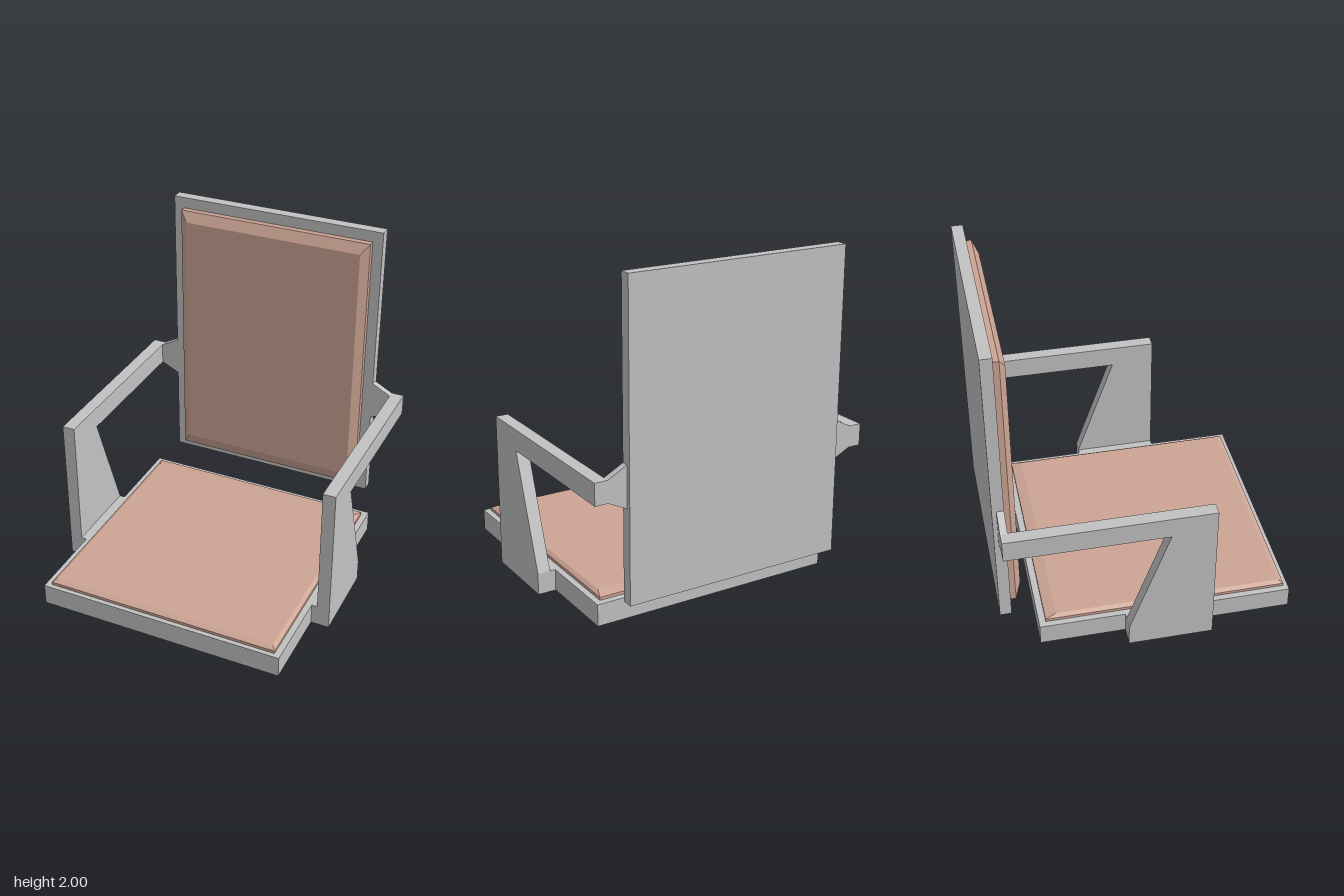
import * as THREE from 'three';

const frameGrey = new THREE.MeshStandardMaterial({ color: 0xc2c2c2 });
frameGrey.name = 'frameGrey';
const cushionPink = new THREE.MeshStandardMaterial({ color: 0xcda595 });
cushionPink.name = 'cushionPink';

function addMesh(parent, name, geometry, material) {
  const mesh = new THREE.Mesh(geometry, material);
  mesh.name = name;
  parent.add(mesh);
  return mesh;
}

// Box given by its limits on each axis
function boxBetween(x0, x1, y0, y1, z0, z1) {
  return new THREE.BoxGeometry(x1 - x0, y1 - y0, z1 - z0)
    .translate((x0 + x1) / 2, (y0 + y1) / 2, (z0 + z1) / 2);
}

// Extrude an outline from depth d0 to d1
function plate(points, d0, d1) {
  const shape = new THREE.Shape(points.map(([a, b]) => new THREE.Vector2(a, b)));
  return new THREE.ExtrudeGeometry(shape, { depth: d1 - d0, bevelEnabled: false }).translate(0, 0, d0);
}

// Upholstered pad lofted upward through rectangles: { x, z0, z1, y }
function pad(rings) {
  const loops = rings.map(({ x, z0, z1, y }) =>
    [[-x, y, z1], [x, y, z1], [x, y, z0], [-x, y, z0]]);
  const positions = [];
  const quad = (a, b, c, d) => positions.push(...a, ...b, ...c, ...a, ...c, ...d);
  for (let i = 0; i < loops.length - 1; i++) {
    for (let j = 0; j < 4; j++) {
      const k = (j + 1) % 4;
      quad(loops[i][j], loops[i][k], loops[i + 1][k], loops[i + 1][j]);
    }
  }
  quad(...loops[loops.length - 1]);
  quad(...[...loops[0]].reverse());
  const geometry = new THREE.BufferGeometry();
  geometry.setAttribute('position', new THREE.Float32BufferAttribute(positions, 3));
  geometry.computeVertexNormals();
  return geometry;
}

export function createModel() {
  const chair = new THREE.Group();
  chair.name = 'chair';

  // Seat base and its cushion
  addMesh(chair, 'seatBase', boxBetween(-0.755, 0.755, 0, 0.13, -0.645, 0.86), frameGrey);
  addMesh(chair, 'seatCushion', pad([
    { x: 0.718, z0: -0.605, z1: 0.833, y: 0.13 },
    { x: 0.718, z0: -0.605, z1: 0.833, y: 0.148 },
    { x: 0.695, z0: -0.54, z1: 0.805, y: 0.163 },
  ]), cushionPink);

  // Backrest board and its cushion, lofted flat then turned to face forward
  addMesh(chair, 'backrest', boxBetween(-0.675, 0.675, 0.197, 2, -0.862, -0.794), frameGrey);
  addMesh(chair, 'backCushion', pad([
    { x: 0.612, z0: -1.932, z1: -0.248, y: -0.794 },
    { x: 0.612, z0: -1.932, z1: -0.248, y: -0.757 },
    { x: 0.563, z0: -1.87, z1: -0.326, y: -0.723 },
  ]).rotateX(Math.PI / 2), cushionPink);

  // Armrest outline as (-z, y): upright with slanted rear edge and a long arm
  const armOutline = [
    [-0.36, 0], [0.14, 0], [0.14, 0.13], [-0.098, 0.803],
    [0.836, 0.803], [0.836, 0.932], [-0.36, 0.932],
  ];

  for (const side of [1, -1]) {
    const arm = new THREE.Group();
    arm.name = side > 0 ? 'leftArm' : 'rightArm';
    chair.add(arm);

    const [inner, outer] = side > 0 ? [0.788, 0.865] : [-0.865, -0.788];
    addMesh(arm, 'armrest', plate(armOutline, inner, outer).rotateY(Math.PI / 2), frameGrey);

    // Block joining the upright to the seat
    const [b0, b1] = side > 0 ? [0.755, 0.788] : [-0.788, -0.755];
    addMesh(arm, 'seatJoint', boxBetween(b0, b1, 0, 0.13, -0.14, 0.36), frameGrey);

    // Tapered bracket joining the arm to the backrest
    const bracket = [[0.675, 0.748], [0.788, 0.803], [0.788, 0.932], [0.675, 0.992]]
      .map(([x, y]) => [x * side, y]);
    addMesh(arm, 'backBracket', plate(bracket, -0.836, -0.794), frameGrey);
  }

  return chair;
}
